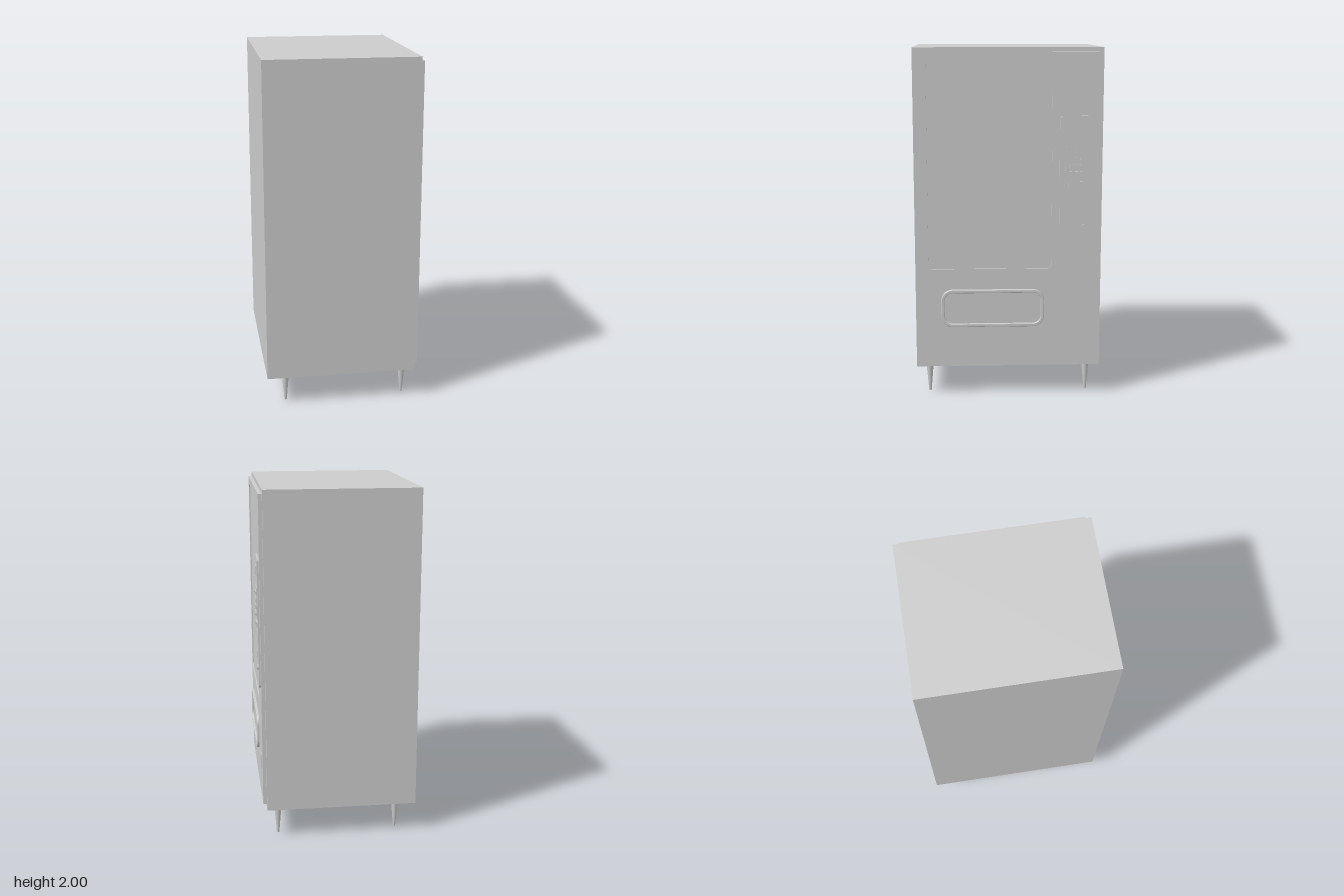
import * as THREE from 'three';

const material = new THREE.MeshStandardMaterial({ color: 0xcccccc });

// Rounded rectangle in the door plane: u runs along -z, v is height
function roundedRect(path, z0, z1, y0, y1, r) {
  const a = -z1, b = -z0;
  path.moveTo(a + r, y0);
  path.lineTo(b - r, y0);
  if (r) path.absarc(b - r, y0 + r, r, -Math.PI / 2, 0, false);
  path.lineTo(b, y1 - r);
  if (r) path.absarc(b - r, y1 - r, r, 0, Math.PI / 2, false);
  path.lineTo(a + r, y1);
  if (r) path.absarc(a + r, y1 - r, r, Math.PI / 2, Math.PI, false);
  path.lineTo(a, y0 + r);
  if (r) path.absarc(a + r, y0 + r, r, Math.PI, Math.PI * 1.5, false);
  return path;
}

export function createModel() {
  const model = new THREE.Group();
  model.name = 'vendingMachine';

  const add = (name, geometry, x = 0, y = 0, z = 0) => {
    const mesh = new THREE.Mesh(geometry, material);
    mesh.name = name;
    mesh.position.set(x, y, z);
    model.add(mesh);
    return mesh;
  };

  // Plate on the door, rect = [z0, z1, y0, y1, radius], from x0 out to x1
  const plate = (name, rect, x0, x1, hole, bevel = 0) => {
    const shape = roundedRect(new THREE.Shape(), ...rect);
    if (hole) shape.holes.push(roundedRect(new THREE.Path(), ...hole));
    const geometry = new THREE.ExtrudeGeometry(shape, {
      depth: x1 - x0 - bevel, curveSegments: 8, bevelEnabled: bevel > 0,
      bevelThickness: bevel, bevelSize: bevel, bevelOffset: -bevel, bevelSegments: 3,
    });
    geometry.rotateY(Math.PI / 2);
    return add(name, geometry, x0);
  };

  // Cabinet and door with a shallow window opening
  add('cabinet', new THREE.BoxGeometry(0.865, 1.83, 1.06), -0.0225, 1.085, 0);
  const opening = [-0.245, 0.455, 0.755, 1.93, 0.025];
  plate('door', [-0.5, 0.5, 0.2, 1.975, 0], 0.41, 0.431, opening);
  plate('window', opening, 0.409, 0.424);

  // Delivery tray with a raised rounded rim
  plate('trayRim', [-0.205, 0.385, 0.415, 0.635, 0.065], 0.43, 0.445,
    [-0.185, 0.365, 0.435, 0.615, 0.045], 0.005);
  plate('trayFlap', [-0.19, 0.37, 0.43, 0.62, 0.05], 0.43, 0.434);

  // Control panel
  plate('controlPanel', [-0.462, -0.287, 0.885, 1.625, 0.02], 0.43, 0.441);
  plate('display', [-0.415, -0.33, 1.515, 1.575, 0], 0.441, 0.445);
  plate('keypadPlate', [-0.43, -0.32, 1.275, 1.455, 0.004], 0.441, 0.444);
  for (let row = 0; row < 4; row++) {
    for (let col = 0; col < 3; col++) {
      const z = -0.412 + col * 0.032, y = 1.305 + row * 0.04;
      plate('keypadButton', [z - 0.009, z + 0.009, y - 0.009, y + 0.009, 0.003], 0.443, 0.45);
    }
  }

  // Note slot: a lip open at the bottom
  plate('noteSlotTop', [-0.415, -0.335, 1.248, 1.256, 0], 0.441, 0.447);
  for (const z of [-0.412, -0.338]) {
    plate('noteSlotSide', [z - 0.003, z + 0.003, 1.228, 1.248, 0], 0.441, 0.447);
  }

  // Coin slot, lock and coin return
  plate('coinSlot', [-0.435, -0.423, 1.065, 1.1, 0.003], 0.441, 0.444, [-0.431, -0.427, 1.07, 1.095, 0]);
  const lock = new THREE.CylinderGeometry(0.014, 0.014, 0.006, 16);
  lock.rotateZ(-Math.PI / 2);
  add('returnButton', lock, 0.444, 1.0, -0.425);
  plate('coinReturn', [-0.41, -0.325, 0.39, 0.465, 0], 0.43, 0.434);

  // Tapered legs
  for (const x of [-0.345, 0.345]) {
    for (const z of [-0.457, 0.457]) {
      add('leg', new THREE.CylinderGeometry(0.022, 0.007, 0.175, 16), x, 0.0875, z);
    }
  }
  return model;
}
